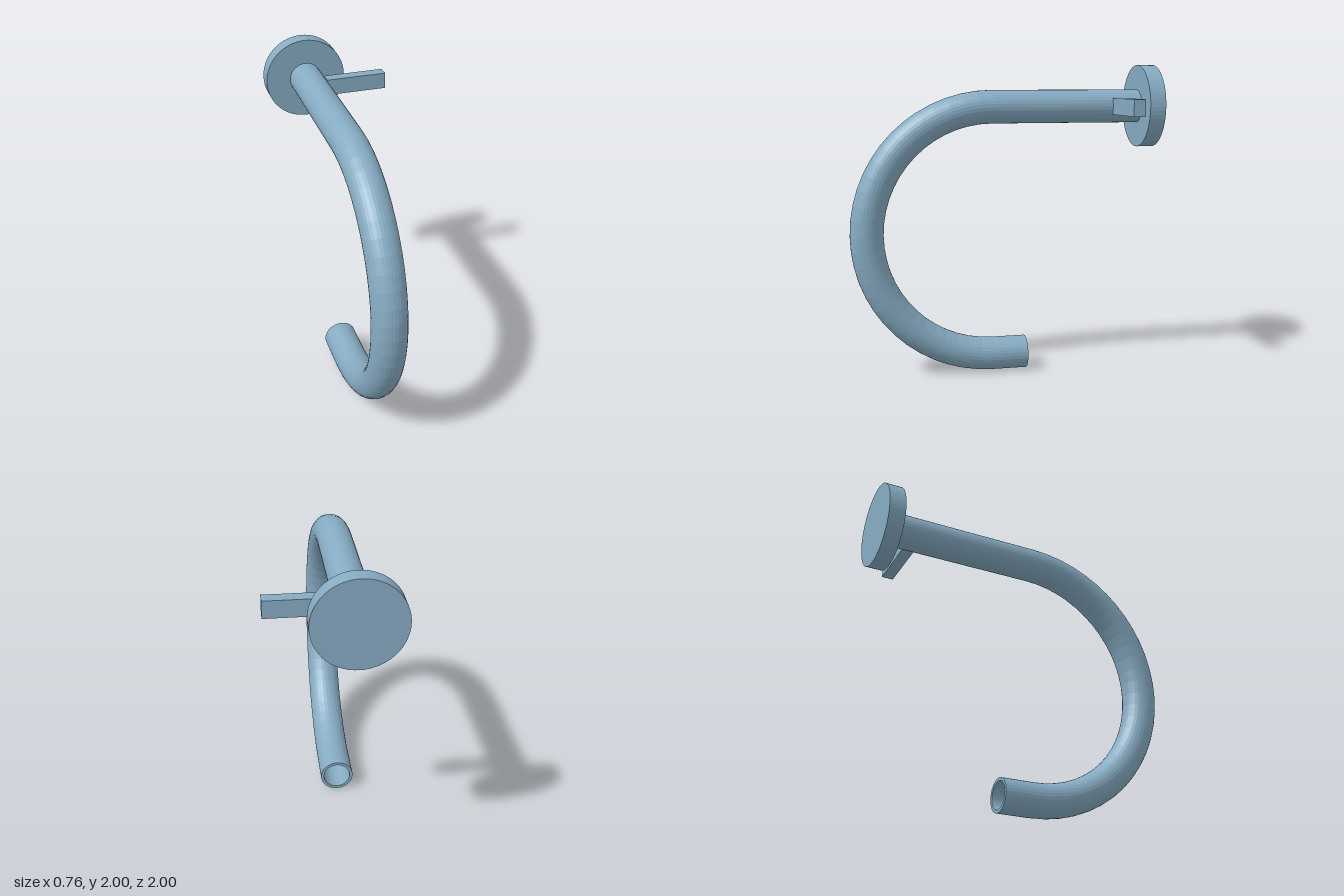
import * as THREE from 'three';

const AXIS_X = -0.115, TOP_Y = 1.733, LOW_Y = 0.107;
const OUTER = 0.107, INNER = 0.087, SIDES = 32;
const BEND_Z = 0.08, BEND_R = (TOP_Y - LOW_Y) / 2;

export function createModel() {
  const metal = new THREE.MeshStandardMaterial({ color: 0x86abc2, flatShading: true, side: THREE.DoubleSide });
  metal.name = 'blueGreyMetal';
  const model = new THREE.Group();
  model.name = 'spout';

  const add = (name, geometry, x, y, z) => {
    const mesh = new THREE.Mesh(geometry, metal);
    mesh.name = name;
    mesh.position.set(x, y, z);
    model.add(mesh);
  };

  // Cylinder lying along z between two depths
  const rod = (name, radius, y, z0, z1, sides, open) => add(name,
    new THREE.CylinderGeometry(radius, radius, z1 - z0, sides, 1, open).rotateX(Math.PI / 2),
    AXIS_X, y, (z0 + z1) / 2);

  // Hollow pipe: upper run, half-circle bend and short outlet, each with an inner wall
  for (const [label, radius] of [['Outer', OUTER], ['Inner', INNER]]) {
    rod('upperPipe' + label, radius, TOP_Y, -0.895, BEND_Z, SIDES, true);
    rod('outletPipe' + label, radius, LOW_Y, -0.14, BEND_Z, SIDES, true);
    add('bend' + label,
      new THREE.TorusGeometry(BEND_R, radius, SIDES, 28, Math.PI).rotateZ(-Math.PI / 2).rotateY(-Math.PI / 2),
      AXIS_X, LOW_Y + BEND_R, BEND_Z);
  }

  // Rim closing the pipe wall at the outlet
  add('outletRim', new THREE.RingGeometry(INNER, OUTER, SIDES).rotateY(Math.PI), AXIS_X, LOW_Y, -0.14);

  // Wall flange
  rod('wallFlange', 0.267, TOP_Y, -1, -0.895, 64, false);

  // Side lever
  add('lever', new THREE.BoxGeometry(0.4, 0.106, 0.076), 0.182, TOP_Y, -0.738);

  return model;
}
